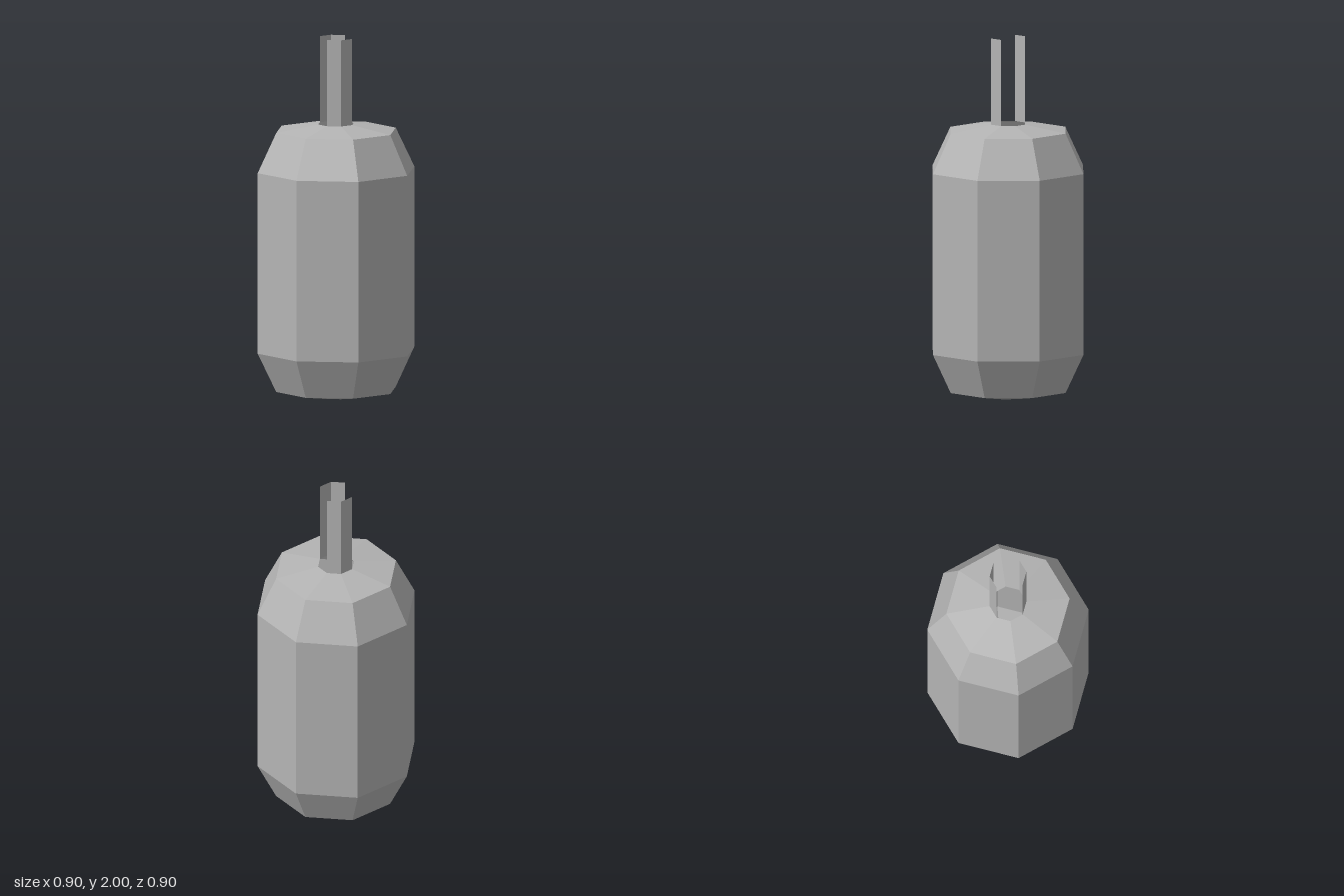
import * as THREE from 'three';

const SIDES = 8;
const HOLE = 0.102; // radius of the top and bottom openings
const TOP = 1.52;   // height of the top rim

export function createModel() {
  const model = new THREE.Group();
  model.name = 'lantern';
  const grey = new THREE.MeshStandardMaterial({ color: 0xb4b4b4, side: THREE.DoubleSide, flatShading: true });
  grey.name = 'grey';

  // Hollow eight-sided body, open at both ends
  const profile = [[HOLE, 0], [0.342, 0.04], [0.448, 0.258], [0.448, 1.264], [0.342, 1.483], [HOLE, TOP]]
    .map(([r, y]) => new THREE.Vector2(r, y));
  const body = new THREE.Mesh(new THREE.LatheGeometry(profile, SIDES), grey);
  body.name = 'lanternBody';
  model.add(body);

  // Two folded hanging strips rising from the front and back of the top rim
  const height = 2 - TOP;
  for (const [name, turn] of [['frontStrip', 0], ['backStrip', Math.PI]]) {
    const geometry = new THREE.CylinderGeometry(HOLE, HOLE, height, 2, 1, true, -Math.PI / 4, Math.PI / 2);
    const strip = new THREE.Mesh(geometry, grey);
    strip.name = name;
    strip.position.y = TOP + height / 2;
    strip.rotation.y = turn;
    model.add(strip);
  }
  return model;
}
